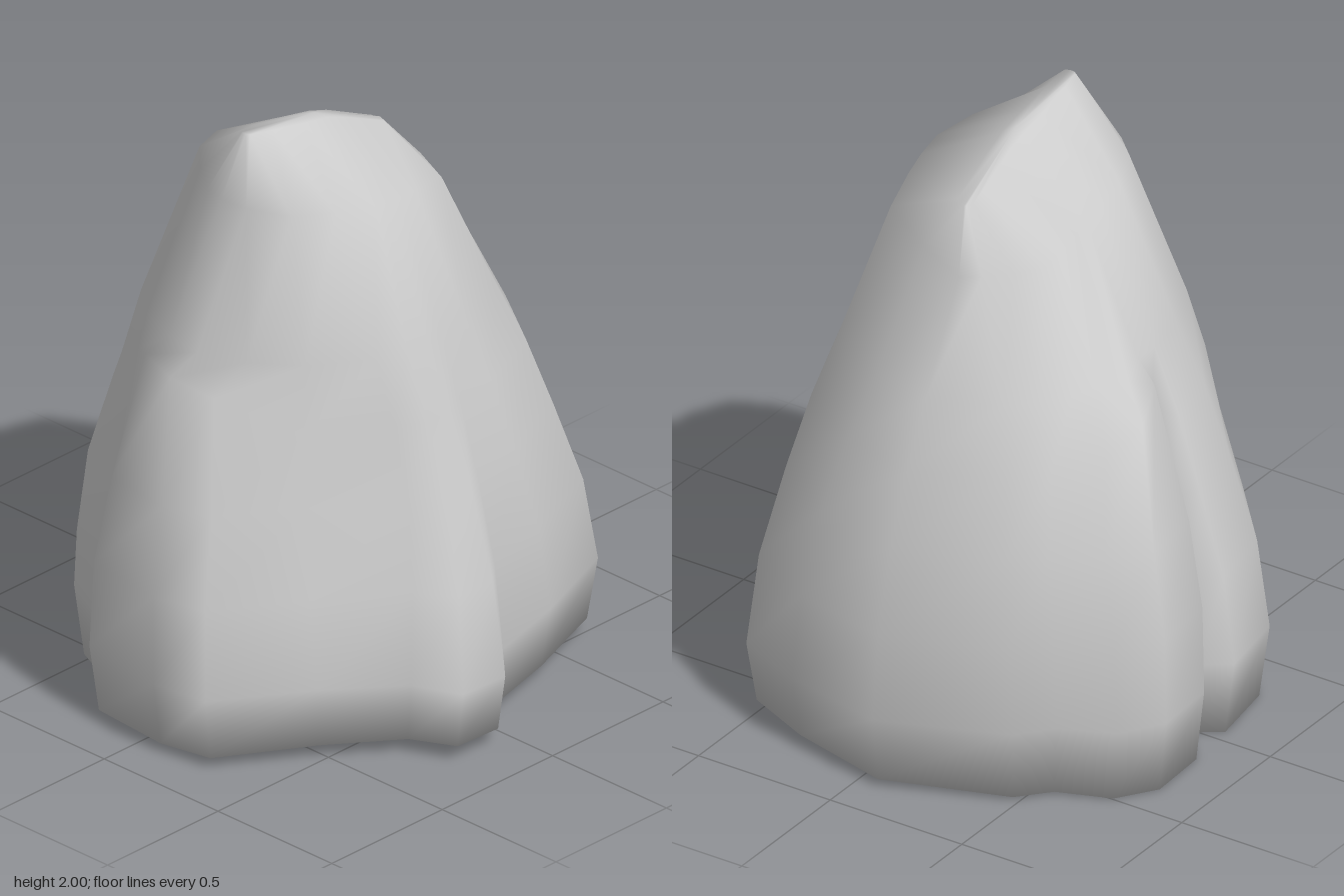
import * as THREE from 'three';

const stone = new THREE.MeshStandardMaterial({ color: 0xcccccc, side: THREE.DoubleSide });

// The ground line tilts slightly: higher at the front
const groundY = z => 0.03 + 0.035 * z;
const foot = (pts, s) => pts.map(([x, z]) => [x * s, groundY(z * s), z * s]);
const level = (pts, y) => pts.map(([x, z]) => [x, y, z]);
const mix = (a, b, t) => a.map((v, k) => v + (b[k] - v) * t);

// Skin closed rings (bottom to top) and close the top with a fan to the peak
function loft(rings, peak) {
  const n = rings[0].length, index = [];
  for (let r = 0; r < rings.length; r++) {
    for (let i = 0; i < n; i++) {
      const a = r * n + i, b = r * n + (i + 1) % n;
      if (r < rings.length - 1) index.push(a, a + n, b, b, a + n, b + n);
      else index.push(a, rings.length * n, b);
    }
  }
  const geo = new THREE.BufferGeometry();
  geo.setAttribute('position', new THREE.Float32BufferAttribute([...rings.flat(), peak].flat(), 3));
  geo.setIndex(index);
  geo.computeVertexNormals();
  return geo;
}

export function createModel() {
  // Outline near the ground, from the left side round the front: columns 4-7 are
  // the front ridge, 8-12 the right buttress, 16-21 the back buttress
  const low = [
    [0.88, -0.08], [0.8, 0.28], [0.7, 0.52], [0.35, 0.65],
    [0.05, 0.73], [-0.07, 0.86], [-0.25, 0.85], [-0.32, 0.69],
    [-0.55, 0.5], [-0.85, 0.3], [-0.88, 0.1], [-0.84, -0.22], [-0.66, -0.37],
    [-0.58, -0.54], [-0.31, -0.79], [-0.05, -0.83],
    [0.02, -0.74], [0.15, -0.85], [0.38, -0.86], [0.52, -0.77], [0.6, -0.59], [0.71, -0.5]];
  // Outline at the top of the front ridge
  const waist = [
    [0.79, -0.09], [0.72, 0.22], [0.55, 0.47], [0.25, 0.59],
    [0.05, 0.62], [-0.02, 0.66], [-0.13, 0.66], [-0.22, 0.58],
    [-0.5, 0.39], [-0.74, 0.22], [-0.8, 0.06], [-0.77, -0.19], [-0.61, -0.31],
    [-0.52, -0.46], [-0.28, -0.66], [-0.05, -0.7],
    [0.03, -0.66], [0.13, -0.78], [0.36, -0.8], [0.49, -0.7], [0.57, -0.54], [0.67, -0.44]];
  // Outline just above the two tall buttresses
  const shelf = level([
    [0.61, -0.1], [0.55, 0.12], [0.39, 0.37], [0.16, 0.46],
    [0.02, 0.49], [-0.05, 0.5], [-0.14, 0.5], [-0.24, 0.46],
    [-0.43, 0.33], [-0.54, 0.18], [-0.6, 0.02], [-0.58, -0.12], [-0.52, -0.28],
    [-0.42, -0.4], [-0.22, -0.5], [-0.06, -0.52],
    [0.03, -0.52], [0.1, -0.53], [0.24, -0.51], [0.35, -0.48], [0.44, -0.42], [0.52, -0.33]], 1.31);
  shelf[17][1] = 1.27;
  // Slanted edge of the summit
  const rim = [
    [0.42, 1.66, -0.1], [0.35, 1.68, 0.08], [0.24, 1.71, 0.28], [0.08, 1.74, 0.32],
    [-0.02, 1.755, 0.34], [-0.08, 1.765, 0.345], [-0.13, 1.77, 0.35], [-0.27, 1.79, 0.31],
    [-0.4, 1.8, 0.24], [-0.46, 1.8, 0.1], [-0.47, 1.8, 0], [-0.45, 1.8, -0.08], [-0.38, 1.81, -0.18],
    [-0.29, 1.82, -0.27], [-0.15, 1.8, -0.33], [-0.04, 1.77, -0.33],
    [0.04, 1.75, -0.33], [0.1, 1.735, -0.33], [0.19, 1.71, -0.33], [0.27, 1.69, -0.32],
    [0.32, 1.67, -0.24], [0.38, 1.66, -0.16]];

  // Slightly swollen belly
  const belly = low.map((p, i) => mix(p, waist[i], 0.5).map(v => v * 1.03));
  // Tops of the buttresses; elsewhere the wall just continues
  const tops = {
    9: [-0.64, 1.2, 0.13], 10: [-0.7, 1.25, 0], 11: [-0.67, 1.27, -0.14], 12: [-0.57, 1.2, -0.27],
    16: [0.03, 1.15, -0.57], 17: [0.12, 1.3, -0.64], 18: [0.26, 1.23, -0.69], 19: [0.38, 1.15, -0.63],
    20: [0.5, 1.1, -0.5], 21: [0.59, 1.1, -0.39] };
  const ledge = waist.map(([x, z], i) => tops[i] ?? mix([x, 0.85, z], shelf[i], 0.5).map(v => v * 1.01));
  // Crest running down from the highest point on the right
  const crown = rim.map(p => {
    const x = THREE.MathUtils.clamp(p[0], -0.36, 0.24);
    return mix([x, 1.95 - x * (x < 0 ? 0.2 : 0.5), 0], p, 0.1);
  });

  // One shell, open underneath
  const rock = new THREE.Mesh(loft([
    foot(low, 0.63), foot(low, 0.96), level(low, 0.26), level(belly, 0.56), level(waist, 0.85),
    ledge, shelf, rim, crown,
  ], [-0.05, 1.95, 0]), stone);
  rock.name = 'rock';
  const group = new THREE.Group();
  group.name = 'boulder';
  group.add(rock);
  return group;
}
